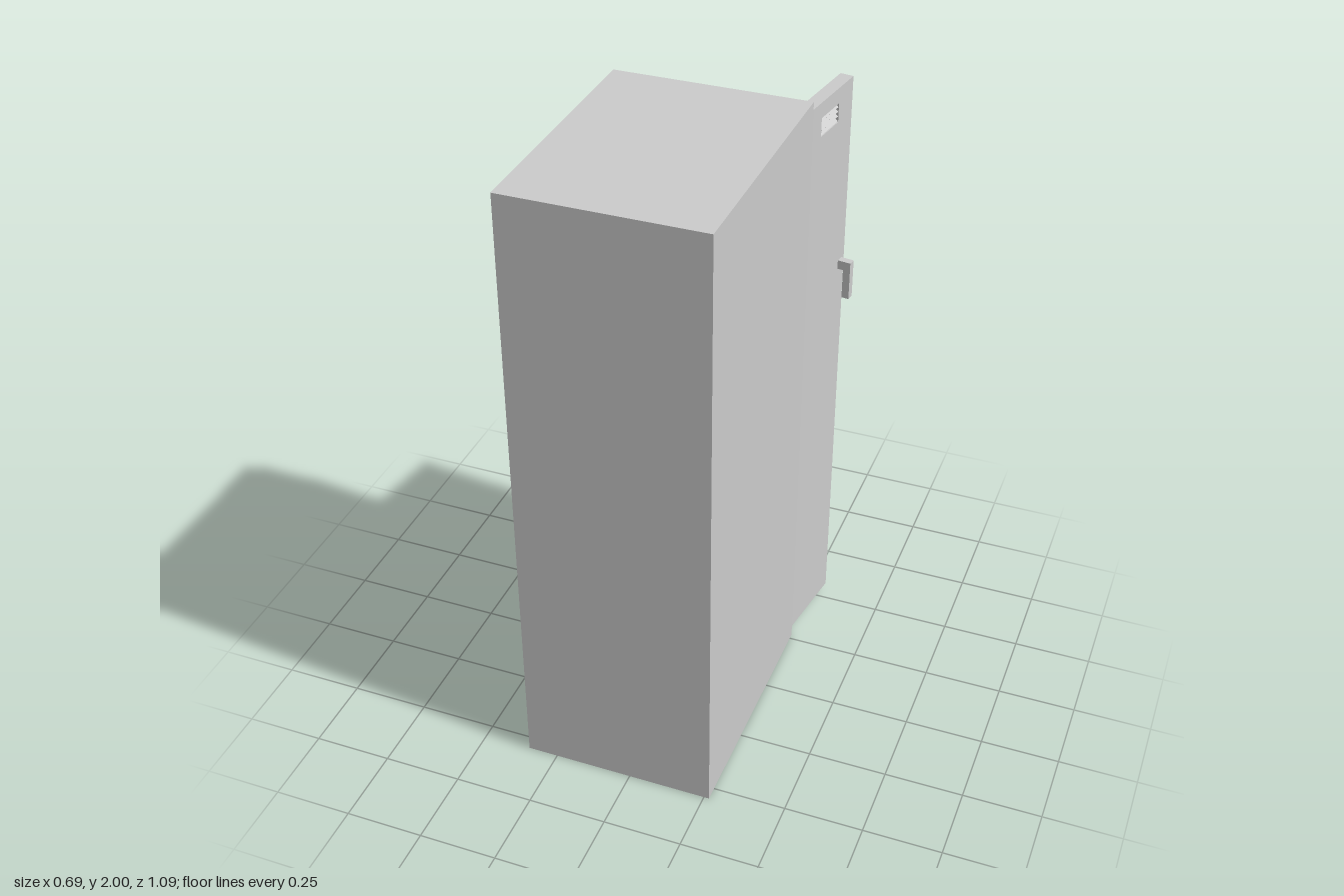
import * as THREE from 'three';

const material = new THREE.MeshStandardMaterial({ color: 0xcccccc, flatShading: true });

function add(parent, name, geometry, x = 0, y = 0, z = 0) {
  const mesh = new THREE.Mesh(geometry, material);
  mesh.name = name;
  mesh.position.set(x, y, z);
  parent.add(mesh);
  return mesh;
}

function box(parent, name, w, h, d, x, y, z) {
  return add(parent, name, new THREE.BoxGeometry(w, h, d), x, y, z);
}

function rectangle(PathType, x0, y0, x1, y1) {
  return new PathType([[x0, y0], [x1, y0], [x1, y1], [x0, y1]].map(p => new THREE.Vector2(...p)));
}

// Rectangular slab with one rectangular opening, extruded along +z
function framePanel(outer, opening, depth) {
  const shape = rectangle(THREE.Shape, ...outer);
  shape.holes.push(rectangle(THREE.Path, ...opening));
  return new THREE.ExtrudeGeometry(shape, { depth, bevelEnabled: false });
}

// Door with its hinge edge at x = 0, reaching to -x, outer face at z = 0
function makeDoor(name) {
  const W = 0.28, BOTTOM = 0.03, TOP = 1.97, SKIN = 0.02, THICK = 0.042;
  const vent = [-0.188, 1.86, -0.075, 1.92];
  const door = new THREE.Group();
  door.name = name;
  add(door, 'outerPanel', framePanel([-W, BOTTOM, 0, TOP], vent, SKIN));
  box(door, 'innerPanel', W, TOP - BOTTOM, THICK - SKIN, -W / 2, (TOP + BOTTOM) / 2, (THICK + SKIN) / 2);

  // Sloping louvres sunk into the vent opening
  const slats = 4, pitch = (vent[3] - vent[1]) / slats;
  for (let i = 0; i < slats; i++) {
    const slat = box(door, 'ventSlat', vent[2] - vent[0], 0.003, 0.018,
      (vent[0] + vent[2]) / 2, vent[1] + pitch * (i + 0.5), 0.009);
    slat.rotation.x = -0.7;
  }
  return door;
}

export function createModel() {
  const model = new THREE.Group();
  model.name = 'locker';

  // Cabinet: hollow shell, open on the door side
  const cabinet = new THREE.Group();
  cabinet.name = 'cabinet';
  model.add(cabinet);
  add(cabinet, 'shell', framePanel([-0.347, 0, 0.267, 2], [-0.325, 0.03, 0.245, 1.97], 0.795), 0, 0, -0.27);
  box(cabinet, 'backPanel', 0.614, 2, 0.02, -0.04, 1, 0.535);

  // Closed door
  const closedDoor = makeDoor('closedDoor');
  closedDoor.position.set(-0.045, 0, -0.293);
  model.add(closedDoor);

  // Open door, swung out just past a right angle
  const openDoor = makeDoor('openDoor');
  openDoor.position.set(0.261, 0, -0.264);
  openDoor.rotation.y = -(Math.PI / 2 + 0.152);
  model.add(openDoor);

  // L-shaped handle on the open door
  const handle = new THREE.Group();
  handle.name = 'handle';
  handle.position.x = -0.25;
  openDoor.add(handle);
  box(handle, 'handleStem', 0.024, 0.03, 0.022, 0, 1.353, -0.009);
  box(handle, 'handleGrip', 0.024, 0.128, 0.024, 0, 1.304, -0.031);

  return model;
}
